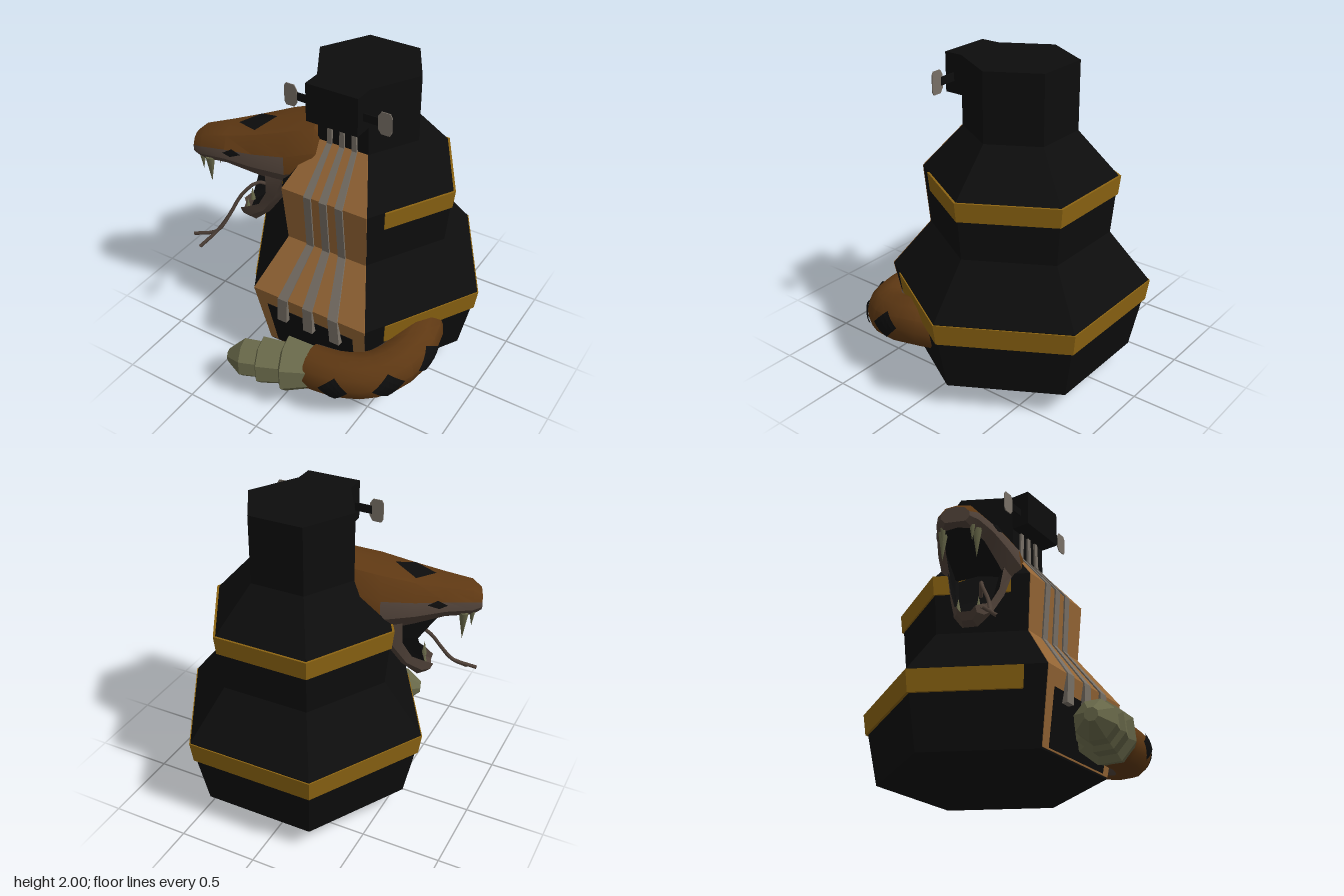
import * as THREE from 'three';
import { toCreasedNormals } from 'three/addons/utils/BufferGeometryUtils.js';

const V = (x, y, z) => new THREE.Vector3(x, y, z);
const lerp = THREE.MathUtils.lerp;

function paint(name, color, side = THREE.FrontSide) {
  const m = new THREE.MeshStandardMaterial({ color, side });
  m.name = name;
  return m;
}

// Solid skin over closed rings of points; pick(ring, point) chooses the material index
function loft(name, rings, mats, pick = () => 0, crease = 0.05) {
  const n = rings[0].length, buckets = mats.map(() => []);
  let volume = 0;
  const tri = (m, a, b, c) => {
    volume += a.dot(b.clone().cross(c));
    buckets[m].push([a, b, c]);
  };
  for (let i = 0; i < rings.length - 1; i++) {
    for (let j = 0; j < n; j++) {
      const k = (j + 1) % n, m = pick(i, j);
      tri(m, rings[i][j], rings[i + 1][j], rings[i + 1][k]);
      tri(m, rings[i][j], rings[i + 1][k], rings[i][k]);
    }
  }
  const first = rings[0], last = rings[rings.length - 1];
  for (let j = 1; j < n - 1; j++) {
    tri(0, first[0], first[j], first[j + 1]);
    tri(0, last[0], last[j + 1], last[j]);
  }
  const points = [], geo = new THREE.BufferGeometry();
  buckets.forEach((list, m) => {
    geo.addGroup(points.length, list.length * 3, m);
    for (const [a, b, c] of list) points.push(...(volume > 0 ? [a, b, c] : [a, c, b]));
  });
  geo.setFromPoints(points);
  geo.computeVertexNormals();
  const mesh = new THREE.Mesh(toCreasedNormals(geo, crease), mats);
  mesh.name = name;
  return mesh;
}

// Flat or folded patch: a triangle fan
function plate(name, pts, mat) {
  const p = [];
  for (let i = 1; i < pts.length - 1; i++) p.push(pts[0], pts[i], pts[i + 1]);
  const geo = new THREE.BufferGeometry().setFromPoints(p);
  geo.computeVertexNormals();
  const mesh = new THREE.Mesh(geo, mat);
  mesh.name = name;
  return mesh;
}

// Six-sided body: [radius, height]
const CX = 0.08, CZ = -0.175, APO = Math.sqrt(3) / 2;
const PROFILE = [[0, 0], [0.7, 0.16], [0.8, 0.63], [0.55, 0.94], [0.585, 1.31], [0.34, 1.58], [0.34, 2], [0, 2]];
function radiusAt(y) {
  const i = Math.max(1, PROFILE.findIndex(p => p[1] >= y));
  const [r0, y0] = PROFILE[i - 1], [r1, y1] = PROFILE[i];
  return lerp(r0, r1, (y - y0) / (y1 - y0));
}

// Strip lying on the front face: rows of [y, x0, x1, extra lift]
function frontStrip(name, rows, lift, mat) {
  return loft(name, rows.map(([y, x0, x1, up = 0]) => {
    const z = CZ + APO * radiusAt(y), f = z + lift + up;
    return [V(x0, y, f), V(x1, y, f), V(x1, y, z - 0.01), V(x0, y, z - 0.01)];
  }), [mat]);
}

// Head coordinates: u towards the snout, v sideways
const H = (u, v, y) => V(-0.33 - 0.92 * u + 0.385 * v, y, 0.05 + 0.385 * u + 0.92 * v);

export function createModel() {
  const black = paint('black', 0x0d0d0d, THREE.DoubleSide), gold = paint('gold', 0x8c6412);
  const tan = paint('tan', 0x946535), steel = paint('warmGrey', 0x776f65);
  const brown = paint('snakeBrown', 0x5e3813), taupe = paint('snakeTaupe', 0x4f4138);
  const bone = paint('bone', 0x69694a);
  const model = new THREE.Group();
  const add = (name, geo, mat, pos) => {
    const mesh = new THREE.Mesh(geo, mat);
    mesh.name = name;
    if (pos) mesh.position.copy(pos);
    model.add(mesh);
    return mesh;
  };

  // Body and overhanging head block
  const bodyGeo = new THREE.LatheGeometry(PROFILE.map(p => new THREE.Vector2(...p)), 6, Math.PI / 2).toNonIndexed();
  bodyGeo.computeVertexNormals();
  add('body', bodyGeo, black, V(CX, 0, CZ));
  add('headBlock', new THREE.BoxGeometry(0.34, 0.24, 0.14), black, V(CX, 1.88, 0.17));

  // Gold bands wrapping five sides, open at the front
  for (const [name, y0, y1, r0, r1, t] of [['lowerBand', 0.49, 0.625, 0.788, 0.808, 0.83], ['upperBand', 1.19, 1.31, 0.586, 0.6, 0.8]]) {
    const hex = (k, r, y) => V(CX + r * Math.cos(k * Math.PI / 3), y, CZ - r * Math.sin(k * Math.PI / 3));
    const corner = (k, r, y) => k < 0 ? hex(0, r, y).lerp(hex(-1, r, y), t)
      : k > 3 ? hex(3, r, y).lerp(hex(4, r, y), t) : hex(k, r, y);
    model.add(loft(name, [-1, 0, 1, 2, 3, 4].map(k =>
      [corner(k, r1, y1), corner(k, r0, y0), corner(k, r0 - 0.04, y0), corner(k, r1 - 0.04, y1)]), [gold]));
  }

  // Front panel, bridge patch and strings
  model.add(frontStrip('frontPanel', [1.58, 1.31, 0.94, 0.63, 0.17].map(y =>
    [y, CX - radiusAt(y) / 2, CX + radiusAt(y) / 2]), 0.004, tan));
  model.add(frontStrip('bridge', [[0.52, -0.235, 0.385], [0.18, -0.21, 0.37]], 0.008, black));
  for (const s of [-1, 0, 1]) {
    model.add(frontStrip('string', [[1.76, 0.078, 0.014], [1.58, 0.085, 0.016], [1.31, 0.108, 0.025],
      [0.94, 0.112, 0.025], [0.63, 0.18, 0.034], [0.45, 0.192, 0.034, 0.03]].map(([y, d, w, up]) =>
      [y, CX + s * d - w, CX + s * d + w, up]), 0.014, steel));
  }

  // Flat tuning pegs
  const flat = pts => new THREE.ExtrudeGeometry(new THREE.Shape(pts.map(p => new THREE.Vector2(...p))), { depth: 0.006, bevelEnabled: false });
  for (const s of [-1, 1]) {
    const shape = [[0.265, 1.82], [0.285, 1.79], [0.34, 1.79], [0.352, 1.81], [0.352, 1.91], [0.34, 1.93], [0.285, 1.93], [0.265, 1.9]];
    add('tuningPeg', flat(shape.map(([x, y]) => [CX + s * x, y])), steel, V(0, 0, 0.18));
    add('pegStem', new THREE.BoxGeometry(0.12, 0.05, 0.008), black, V(CX + s * 0.22, 1.86, 0.18));
  }

  // Snake upper head: [u, half width, bottom, top]
  const section = [[0.7, 0], [1, 0.3], [0.95, 0.6], [0.6, 0.92], [0, 1], [-0.6, 0.92], [-0.95, 0.6], [-1, 0.3], [-0.7, 0], [0, 0.1]];
  const head = [[-0.32, 0.2, 1.3, 1.56], [-0.17, 0.24, 1.28, 1.67], [0, 0.25, 1.25, 1.63], [0.2, 0.215, 1.29, 1.57],
    [0.38, 0.17, 1.33, 1.525], [0.54, 0.125, 1.33, 1.495], [0.595, 0.085, 1.35, 1.45]];
  model.add(loft('snakeUpperHead', head.map(([u, w, b, t]) => section.map(([v, f]) => H(u, v * w, lerp(b, t, f)))),
    [taupe, brown, black], (i, j) => {
      if (j >= 2 && j <= 5) return 1;
      if ((j === 1 || j === 6) && i < 2) return 1;
      return j >= 8 && i > 1 && i < 5 ? 2 : 0;
    }, 0.6));

  // Lower jaw: [outer u, outer y, inner u, inner y, half width], with a dark hollow
  const jaw = [[-0.3, 1.35, 0.05, 1.48, 0.19], [-0.1, 1.28, 0.13, 1.33, 0.2], [0.03, 1.11, 0.14, 1.15, 0.165],
    [0.14, 0.95, 0.2, 1.03, 0.12], [0.24, 0.865, 0.29, 0.98, 0.09], [0.3, 0.88, 0.335, 0.95, 0.06]];
  const jawSection = [[-0.5, 0], [0.5, 0], [1, 0.5], [0.9, 1], [0.65, 0.65], [-0.65, 0.65], [-0.9, 1], [-1, 0.5]];
  model.add(loft('snakeLowerJaw', jaw.map(([uo, yo, ui, yi, w]) =>
    jawSection.map(([v, f]) => H(lerp(uo, ui, f), v * w, lerp(yo, yi, f)))),
  [taupe, black], (i, j) => (j >= 3 && j <= 5 && i < 4 ? 1 : 0), 0.6));

  // Mouth lining, eyes and crown mark
  model.add(plate('mouthLining', [H(0.1, -0.13, 1.17), H(0.1, -0.14, 1.33), H(0.34, -0.13, 1.33),
    H(0.23, -0.12, 1.17), H(0.28, -0.08, 0.98), H(0.18, -0.1, 1.02)], black));
  for (const s of [-1, 1]) {
    model.add(plate('eye', [H(0.27, s * 0.202, 1.445), H(0.33, s * 0.178, 1.465),
      H(0.39, s * 0.17, 1.43), H(0.34, s * 0.187, 1.415)], black));
  }
  model.add(plate('crownMark', [H(0.2, 0, 1.58), H(0.08, 0, 1.614), H(0, 0, 0).set(...H(0.2, 0.1, 1.565)),
    H(0.32, 0, 1.55), H(0.2, -0.1, 1.565), H(0.08, 0, 1.614)], black));

  // Fangs, lower teeth and forked tongue
  for (const s of [-1, 1]) {
    add('fang', new THREE.ConeGeometry(0.03, 0.18, 6), bone, H(0.49, s * 0.1, 1.26)).rotation.x = Math.PI;
    add('sideFang', new THREE.ConeGeometry(0.018, 0.1, 6), bone, H(0.54, s * 0.085, 1.3)).rotation.x = Math.PI;
    add('lowerTooth', new THREE.ConeGeometry(0.018, 0.09, 6), bone, H(0.28, s * 0.06, 0.99));
    const tip = s < 0 ? V(-0.84, 0.79, 0.44) : V(-0.76, 0.75, 0.49);
    const path = new THREE.CatmullRomCurve3([V(-0.42, 1.12, 0.12), V(-0.5, 1.16, 0.18), V(-0.58, 1.08, 0.25),
      V(-0.63, 0.95, 0.33), V(-0.69, 0.84, 0.39), tip]);
    add('tongueFork', new THREE.TubeGeometry(path, 14, 0.012, 5), taupe);
  }

  // Tail curling round the front, with a lighter inner belly
  const path = new THREE.CatmullRomCurve3([V(0.56, 0.4, -0.02), V(0.65, 0.42, 0.16), V(0.64, 0.37, 0.36),
    V(0.53, 0.32, 0.52), V(0.36, 0.3, 0.6), V(0.16, 0.285, 0.62)]);
  const tailPoint = (t, a, lift = 0) => {
    const out = V(0, 1, 0).cross(path.getPoint(t)).set(0, 1, 0).cross(path.getTangent(t)).normalize();
    const r = lerp(0.155, 0.14, t) + lift;
    return path.getPoint(t).addScaledVector(out, r * Math.cos(a)).add(V(0, r * Math.sin(a), 0));
  };
  const rings = [];
  for (let i = 0; i <= 12; i++) rings.push(Array.from({ length: 12 }, (_, j) => tailPoint(i / 12, j * Math.PI / 6)));
  model.add(loft('tail', rings, [brown, taupe], (i, j) => (j >= 4 && j <= 7 ? 1 : 0), 0.6));

  // Diamond marks following the tail
  for (const [t0, a0] of [[0.32, 0.1], [0.54, 0.05], [0.8, 0]]) {
    const pts = [], at = (i, j) => tailPoint(t0 + 0.075 * (i - j) / 4, a0 + 0.6 * (i + j - 4) / 4, 0.009);
    for (let i = 0; i < 4; i++) {
      for (let j = 0; j < 4; j++) pts.push(at(i, j), at(i + 1, j), at(i + 1, j + 1), at(i, j), at(i + 1, j + 1), at(i, j + 1));
    }
    const geo = new THREE.BufferGeometry().setFromPoints(pts);
    geo.computeVertexNormals();
    add('tailDiamond', geo, black);
  }

  // Stepped rattle
  const steps = [[0, 0], [0.135, 0], [0.178, 0.17], [0.135, 0.19], [0.15, 0.33], [0.118, 0.345], [0.122, 0.45], [0.04, 0.55], [0, 0.55]];
  const rattleGeo = new THREE.LatheGeometry(steps.map(p => new THREE.Vector2(...p)), 8).toNonIndexed();
  rattleGeo.computeVertexNormals();
  add('rattle', rattleGeo, bone, V(0.18, 0.28, 0.62)).quaternion
    .setFromUnitVectors(V(0, 1, 0), V(-0.95, -0.04, 0.31).normalize());
  return model;
}
